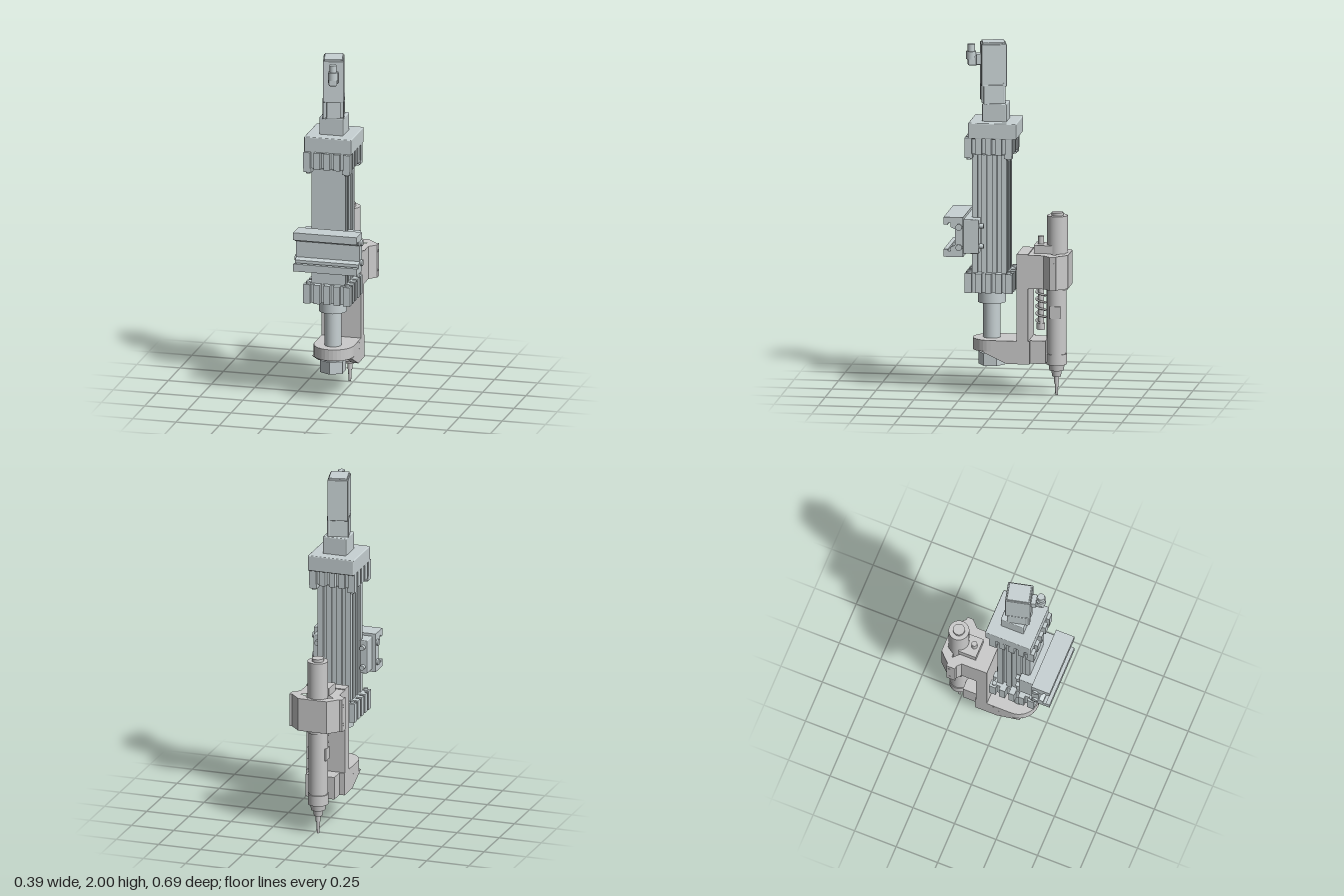
import * as THREE from 'three';
import { RoundedBoxGeometry } from 'three/addons/geometries/RoundedBoxGeometry.js';

const steel = new THREE.MeshStandardMaterial({ color: 0xc8d2d4 });
const grey = new THREE.MeshStandardMaterial({ color: 0xcccccc });

const CX = -0.02, CZ = 0.1;      // actuator axis
const SX = -0.022, SZ = -0.265;  // spindle axis

export function createModel() {
  const model = new THREE.Group();

  function add(name, geo, mat = steel, parent = model) {
    const mesh = new THREE.Mesh(geo, mat);
    mesh.name = name;
    parent.add(mesh);
    return mesh;
  }
  // Box from its minimum and maximum corners
  function box(name, x0, x1, y0, y1, z0, z1, mat, r = 0, parent) {
    const g = r ? new RoundedBoxGeometry(x1 - x0, y1 - y0, z1 - z0, 2, r)
      : new THREE.BoxGeometry(x1 - x0, y1 - y0, z1 - z0);
    g.translate((x0 + x1) / 2, (y0 + y1) / 2, (z0 + z1) / 2);
    return add(name, g, mat, parent);
  }
  // Upright cylinder between two heights
  function rod(name, x, z, r, y0, y1, mat, sides = 32, parent, rBottom = r) {
    const g = new THREE.CylinderGeometry(r, rBottom, y1 - y0, sides);
    g.translate(x, (y0 + y1) / 2, z);
    return add(name, g, mat, parent);
  }
  const toShape = (pts) => new THREE.Shape(pts.map(([a, b]) => new THREE.Vector2(a, b)));
  // Plan outline in (x, z), raised from y0 to y1
  function plan(name, pts, y0, y1, mat, hole) {
    const flip = (list) => list.map(([x, z]) => [x, -z]);
    const s = toShape(flip(pts));
    if (hole) s.holes.push(toShape(flip(hole)));
    const g = new THREE.ExtrudeGeometry(s, { depth: y1 - y0, bevelEnabled: false });
    g.rotateX(-Math.PI / 2).translate(0, y0, 0);
    return add(name, g, mat);
  }
  // Side outline in (z, y), run from x0 to x1
  function side(name, pts, x0, x1, mat) {
    const g = new THREE.ExtrudeGeometry(toShape(pts), { depth: x1 - x0, bevelEnabled: false });
    g.rotateY(-Math.PI / 2).translate(x1, 0, 0);
    return add(name, g, mat);
  }
  // Square outline with slots [centre, width, depth] on chosen sides (0 front, 1 left, 2 back, 3 right)
  function slotted(h, slotsBySide) {
    const pts = [];
    for (let k = 0; k < 4; k++) {
      const a = k * Math.PI / 2, c = Math.cos(a), s = Math.sin(a);
      const put = (u, v) => pts.push([CX + u * c + v * s, CZ - u * s + v * c]);
      put(-h, h);
      for (const [u, w, d] of slotsBySide[k]) {
        put(u - w / 2, h); put(u - w / 2, h - d);
        put(u + w / 2, h - d); put(u + w / 2, h);
      }
    }
    return pts;
  }

  // Actuator barrel with slots on the sides and back
  const slots = [[-0.055, 0.022, 0.016], [0, 0.03, 0.01], [0.055, 0.022, 0.016]];
  plan('actuatorBarrel', slotted(0.098, [[], slots, slots, slots]), 0.69, 1.37, steel);

  // End blocks with ribs and corner tie bolts
  const ribs = [[-0.085, 0.02, 0.02], [-0.028, 0.022, 0.03], [0.028, 0.022, 0.03], [0.085, 0.02, 0.02]];
  const endOutline = slotted(0.135, [ribs, ribs, ribs, ribs]);
  plan('lowerEndBlock', endOutline, 0.59, 0.7, steel);
  plan('upperEndBlock', endOutline, 1.375, 1.47, steel);
  for (const sx of [-1, 1]) for (const sz of [-1, 1]) {
    const x = CX + sx * 0.112, z = CZ + sz * 0.112;
    box('upperCorner', x - 0.022, x + 0.022, 1.355, 1.38, z - 0.022, z + 0.022, steel);
    rod('tieBoltUpper', x, z, 0.013, 1.345, 1.36, steel, 16);
    rod('tieBoltLower', x, z, 0.013, 0.69, 0.712, steel, 16);
  }
  box('headBlock', -0.157, 0.116, 1.465, 1.555, -0.057, 0.215, steel, 0.006);

  // Motor, turned on its axis
  box('motorNeck', -0.088, 0.05, 1.55, 1.655, 0.007, 0.145, steel, 0.006);
  const motor = new THREE.Group();
  motor.name = 'motor';
  motor.position.set(-0.018, 0, 0.09);
  motor.rotation.y = 0.23;
  model.add(motor);
  box('motorFlange', -0.06, 0.06, 1.65, 1.76, -0.06, 0.06, steel, 0.004, motor);
  box('motorBody', -0.058, 0.058, 1.75, 1.99, -0.07, 0.072, steel, 0.004, motor);
  box('motorCap', -0.052, 0.052, 1.98, 2.0, -0.062, 0.064, steel, 0.004, motor);
  for (const s of [-1, 1]) {
    rod('motorBolt', s * 0.05, s * -0.052, 0.011, 1.65, 1.77, steel, 16, motor);
    box('motorRib', s * 0.047 - 0.01, s * 0.047 + 0.01, 1.66, 1.77, 0.055, 0.07, steel, 0, motor);
  }
  box('connectorBase', -0.03, 0.03, 1.87, 1.93, 0.07, 0.1, steel, 0.005, motor);
  box('connectorElbow', -0.024, 0.024, 1.865, 1.92, 0.09, 0.145, steel, 0.01, motor);
  rod('connectorCollar', 0, 0.125, 0.028, 1.9, 1.945, steel, 24, motor);
  rod('connectorPlug', 0, 0.125, 0.02, 1.94, 1.985, steel, 24, motor);

  // Front carriage: C-shaped rail with lips, mirrored about its middle height
  const half = [[0.232, 0.805], [0.342, 0.805], [0.342, 0.848], [0.318, 0.848],
    [0.318, 0.838], [0.302, 0.838], [0.302, 0.86], [0.278, 0.872]];
  const mid = 0.9175;
  const rail = half.concat(half.slice().reverse().map(([z, y]) => [z, 2 * mid - y]));
  side('carriageRail', rail, -0.184, 0.183, steel);
  box('carriageBack', -0.15, 0.115, 0.82, 1.015, 0.19, 0.235, steel);
  box('carriageClampRight', -0.163, -0.12, 0.82, 1.015, 0.147, 0.235, steel, 0.005);
  box('carriageClampLeft', 0.082, 0.157, 0.82, 1.015, 0.147, 0.235, steel, 0.005);
  for (const y of [0.86, 0.975]) {
    for (const s of [-1, 1]) {
      const bolt = rod('railBolt', 0, 0, 0.018, -0.012, 0.012, steel, 20);
      bolt.rotation.z = Math.PI / 2;
      bolt.position.set(s * 0.183, y, 0.255);
    }
    for (const x of [-0.14, 0.128]) {
      const screw = rod('clampScrew', 0, 0, 0.014, -0.015, 0.015, steel, 20);
      screw.rotation.x = Math.PI / 2;
      screw.position.set(x, y, 0.138);
    }
  }

  // Piston rod, collar and hexagonal nut
  rod('rodCollar', CX, CZ, 0.078, 0.52, 0.595, steel);
  rod('pistonRod', CX, CZ, 0.048, 0.23, 0.525, steel);
  const nut = add('rodNut', new THREE.CylinderGeometry(0.074, 0.074, 0.07, 6).toNonIndexed(), steel);
  nut.geometry.computeVertexNormals();
  nut.position.set(CX, 0.2, CZ);
  rod('nutWasher', CX, CZ, 0.055, 0.235, 0.258, steel);

  // Bracket arm with a rounded end and sloping cheeks
  const arm = [[-0.13, -0.12]];
  for (let i = 0; i <= 16; i++) {
    const a = Math.PI * i / 16;
    arm.push([-0.015 - 0.115 * Math.cos(a), 0.09 + 0.115 * Math.sin(a)]);
  }
  arm.push([0.1, -0.12]);
  plan('bracketArm', arm, 0.255, 0.32, grey);
  for (const x of [-0.13, 0.065]) {
    side('armCheek', [[0.14, 0.257], [0, 0.19], [-0.06, 0.19], [-0.06, 0.257]], x, x + 0.035, grey);
  }
  box('bracketFoot', -0.13, 0.1, 0.19, 0.32, -0.13, -0.015, grey);
  box('bracketToe', -0.1, 0.07, 0.19, 0.32, -0.215, -0.12, grey);
  box('bracketPlate', -0.13, 0.1, 0.3, 0.815, -0.122, -0.058, grey);
  for (const y of [0.265, 0.3]) for (const z of [-0.02, 0.012]) {
    const pin = rod('dowelPin', 0, 0, 0.006, -0.1155, 0.1155, grey, 12);
    pin.rotation.z = Math.PI / 2;
    pin.position.set(-0.015, y, z);
  }

  // Clamp head around the spindle
  plan('spindleClamp', [[-0.13, -0.06], [-0.13, -0.21], [-0.155, -0.232], [-0.172, -0.232],
    [-0.172, -0.285], [-0.155, -0.285], [-0.1, -0.343], [0.068, -0.343], [0.125, -0.285],
    [0.14, -0.285], [0.14, -0.25], [0.1, -0.21], [0.1, -0.06]], 0.62, 0.81, grey,
  [[-0.115, -0.275], [-0.092, -0.275], [-0.065, -0.318], [0.025, -0.318], [0.05, -0.275],
    [0.083, -0.275], [0.025, -0.225], [-0.065, -0.225]]);
  box('topPlate', -0.081, 0.036, 0.81, 0.855, -0.25, -0.145, grey);
  for (const y of [0.66, 0.77]) for (const x of [-0.172, 0.14]) {
    const screw = rod('clampSideScrew', 0, 0, 0.008, -0.002, 0.002, grey, 12);
    screw.rotation.z = Math.PI / 2;
    screw.position.set(x, y, -0.267);
  }

  // Spindle body, nose and tool
  rod('spindleUpper', SX, SZ - 0.005, 0.058, 0.6, 1.02, grey, 40);
  rod('spindleCap', SX, SZ - 0.005, 0.033, 1.02, 1.037, grey);
  rod('spindleLower', SX, SZ, 0.055, 0.24, 0.62, grey, 40);
  rod('spindleRing', SX, SZ, 0.058, 0.175, 0.235, grey, 40);
  rod('spindleGroove', SX, SZ, 0.052, 0.23, 0.245, grey, 40);
  rod('spindleNose', SX, SZ, 0.045, 0.14, 0.176, grey, 32, model, 0.04);
  rod('toolChuck', SX, SZ, 0.03, 0.105, 0.142, grey, 32, model, 0.024);
  rod('toolShank', SX, SZ, 0.014, 0.07, 0.106, grey, 20);
  rod('toolTip', SX, SZ, 0.011, 0, 0.072, grey, 20, model, 0.007);
  for (const s of [-1, 1]) {
    box('spindleFlat', SX + s * 0.052 - 0.005, SX + s * 0.052 + 0.005, 0.44, 0.51, SZ - 0.03, SZ + 0.03, grey);
  }

  // Guide pin with its return spring
  rod('guidePin', SX, -0.177, 0.016, 0.37, 0.9, grey, 20);
  rod('springSeat', SX, -0.177, 0.024, 0.37, 0.405, grey, 20);
  const coil = [];
  for (let i = 0; i <= 72; i++) {
    const a = i / 72 * Math.PI * 10;
    coil.push(new THREE.Vector3(SX + 0.026 * Math.cos(a), 0.41 + 0.205 * i / 72, -0.177 + 0.026 * Math.sin(a)));
  }
  add('returnSpring', new THREE.TubeGeometry(new THREE.CatmullRomCurve3(coil), 160, 0.006, 8), grey);

  return model;
}
